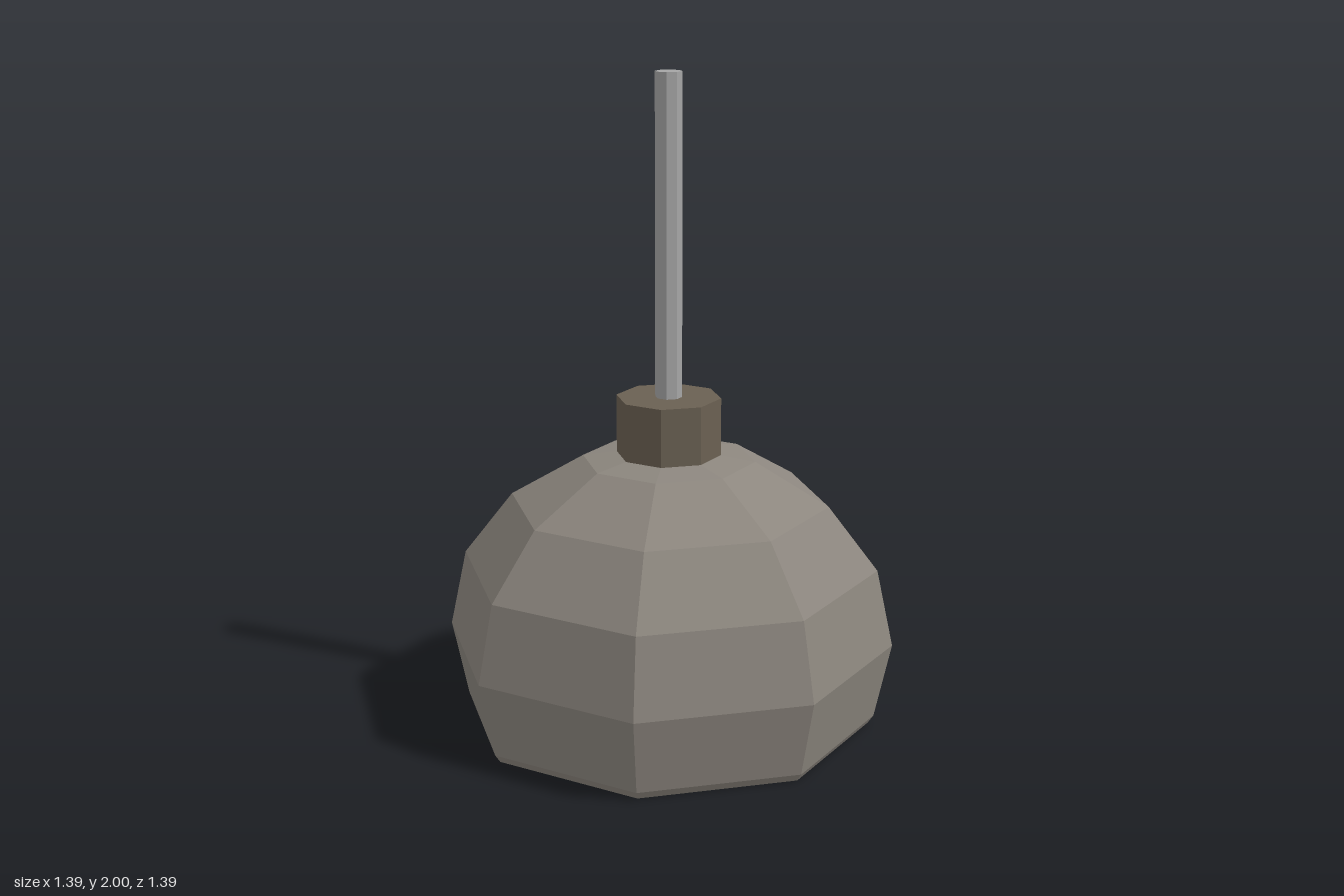
import * as THREE from 'three';

const SIDES = 8;

function material(color) {
  return new THREE.MeshStandardMaterial({ color, flatShading: true, side: THREE.DoubleSide });
}

function addPart(group, name, geometry, mat, y = 0) {
  const mesh = new THREE.Mesh(geometry, mat);
  mesh.name = name;
  mesh.position.y = y;
  group.add(mesh);
}

export function createModel() {
  const group = new THREE.Group();
  group.name = 'pendantLamp';

  // Hollow faceted shade: down the domed inner wall, round the rim, up the outer wall
  const profile = [
    [0, 0.72], [0.24, 0.67], [0.44, 0.515], [0.573, 0.28],
    [0.625, 0], [0.642, 0.025],
    [0.693, 0.26], [0.642, 0.5], [0.49, 0.697], [0.265, 0.83], [0.14, 0.85], [0, 0.85],
  ].map(([r, y]) => new THREE.Vector2(r, y));
  addPart(group, 'shade', new THREE.LatheGeometry(profile, SIDES), material(0x8c867e));

  // Collar on top of the shade
  addPart(group, 'collar', new THREE.CylinderGeometry(0.16, 0.16, 0.185, SIDES), material(0x6a6052), 0.9325);

  // Hanging rod
  addPart(group, 'rod', new THREE.CylinderGeometry(0.041, 0.041, 0.98, SIDES), material(0xa5a5a5), 1.51);

  return group;
}
